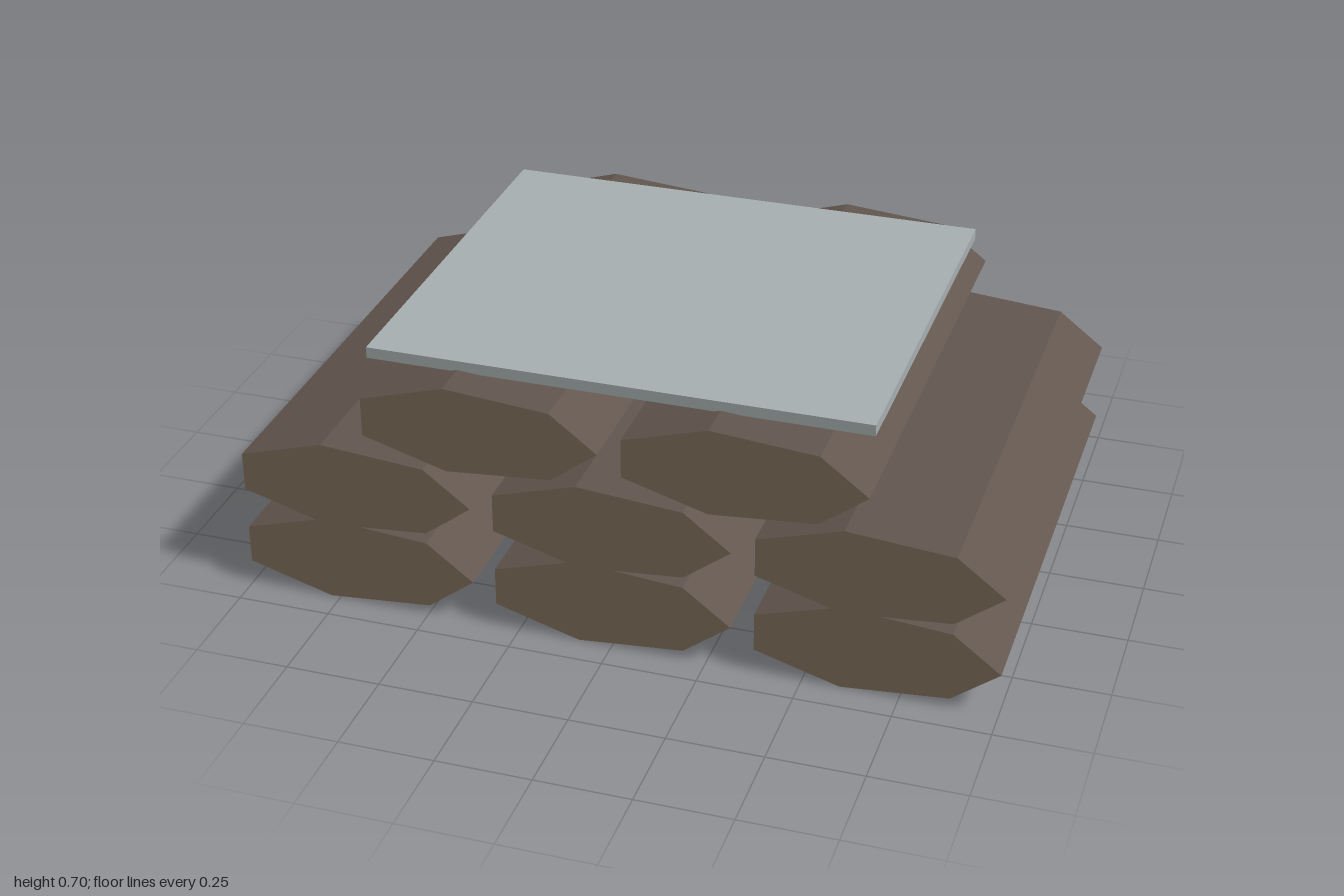
import * as THREE from 'three';

const material = (color) => new THREE.MeshStandardMaterial({ color, flatShading: true });

export function createModel() {
  const model = new THREE.Group();
  model.name = 'logPile';

  const bark = material(0x62564e);
  const cutWood = material(0x7d6d59);
  const metal = material(0xa8b0b2);

  // Seven-sided log, flattened, with one edge pointing to +x
  const logGeometry = new THREE.CylinderGeometry(1, 1, 1.334, 7, 1, false, Math.PI / 2);
  logGeometry.rotateX(Math.PI / 2);
  logGeometry.scale(0.329, 0.121, 1);

  // Rows of logs from the ground up
  const spacing = 0.687;
  const rows = [
    { y: 0.119, startX: -0.703, count: 3 },
    { y: 0.339, startX: -0.703, count: 3 },
    { y: 0.559, startX: -0.36, count: 2 },
  ];
  rows.forEach(({ y, startX, count }, r) => {
    const row = new THREE.Group();
    row.name = `logRow${r + 1}`;
    for (let i = 0; i < count; i++) {
      const log = new THREE.Mesh(logGeometry, [bark, cutWood, cutWood]);
      log.name = `log${i + 1}`;
      log.position.set(startX + i * spacing, y, 0);
      row.add(log);
    }
    model.add(row);
  });

  // Flat sheet lying on the top row
  const sheet = new THREE.Mesh(new THREE.BoxGeometry(1.32, 0.03, 1.13), metal);
  sheet.name = 'coverSheet';
  sheet.position.set(-0.018, 0.687, 0);
  model.add(sheet);

  return model;
}
